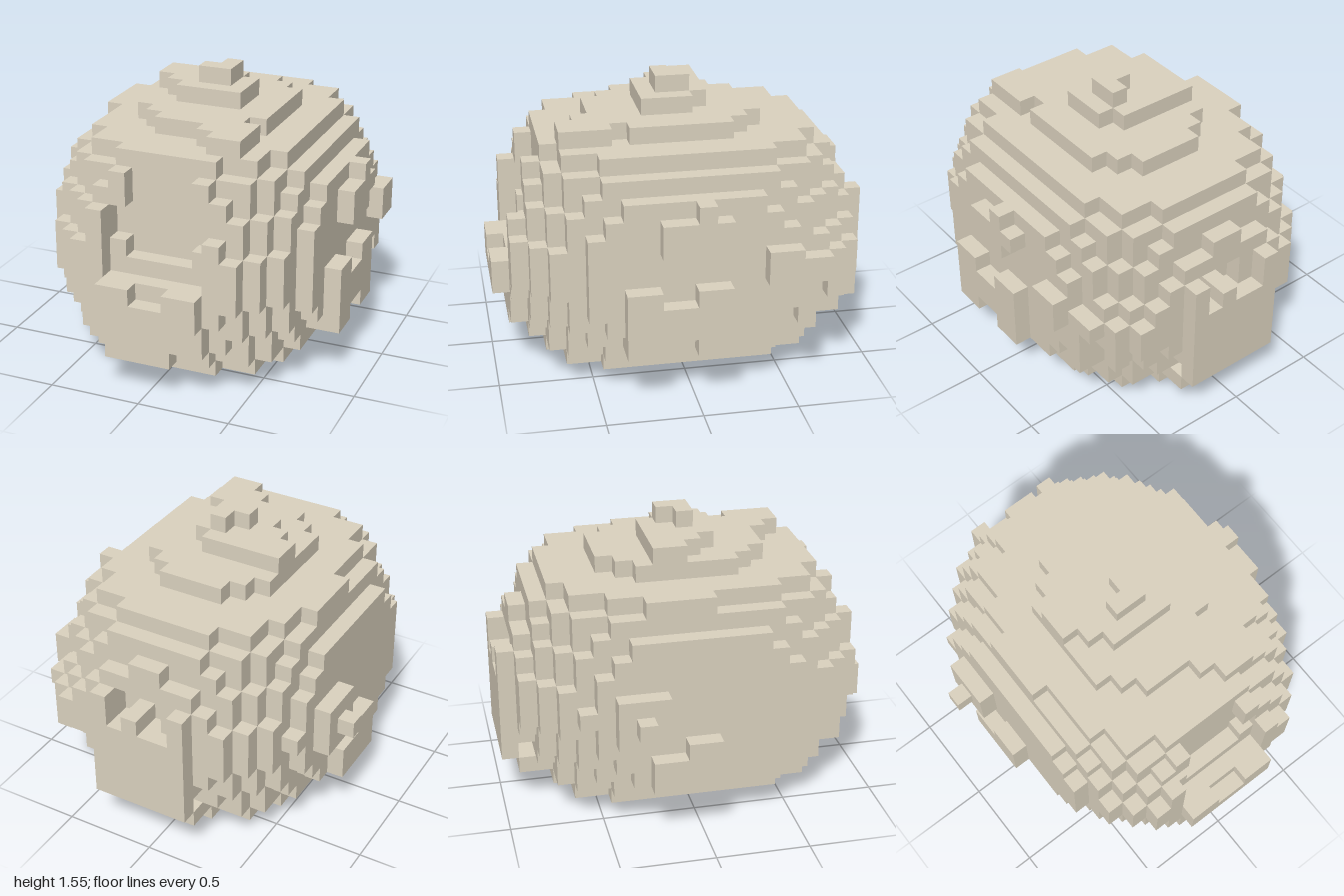
import * as THREE from 'three';

// Block grid: 19 x 17 x 22 cubes
const S = 1 / 11, SIZE = [19, 17, 22];
const ORIGIN = [-9.5 * S, 0, -11 * S];
const key = (i, j, k) => i + SIZE[0] * (j + SIZE[1] * k);

export function createModel() {
  const stone = new THREE.MeshStandardMaterial({ color: 0xdbd2bf });
  stone.name = 'stone';
  const cells = new Map(); // cell -> part name

  // Inclusive ranges of cells
  const each = ([i0, i1], [j0, j1], [k0, k1], fn) => {
    for (let i = i0; i <= i1; i++)
      for (let j = j0; j <= j1; j++)
        for (let k = k0; k <= k1; k++) fn(i, j, k);
  };
  const add = (part, x, y, z) => each(x, y, z, (i, j, k) => {
    if (!cells.has(key(i, j, k))) cells.set(key(i, j, k), part);
  });
  const cut = (x, y, z) => each(x, y, z, (i, j, k) => cells.delete(key(i, j, k)));

  // Main boulder: an ellipsoid with flattened sides; the three layers
  // at each end have their own [size, half width]
  const ends = [[0.195, 0.36], [0.59, 0.55], [0.7, 0.6]];
  each([2, 17], [0, 14], [1, 20], (i, j, k) => {
    const x = (i - 9.5) * S, y = (j - 7) * S, z = (k - 10.5) * S;
    const fromEnd = Math.min(j, 14 - j);
    const [size, half] = ends[fromEnd] ?? [1 - (y / 0.75) ** 2, 0.73];
    const stretch = fromEnd === 0 ? 1 : 0.85;
    if (Math.abs(x) < half && (x / stretch) ** 2 + z * z < size) cells.set(key(i, j, k), 'boulder');
  });
  cut([2, 2], [0, 14], [17, 20]);
  cut([17, 17], [0, 14], [17, 20]);

  // Rough edges
  add('boulder', [3, 3], [13, 13], [8, 11]);
  add('boulder', [7, 10], [2, 2], [20, 20]);
  add('boulder', [7, 12], [3, 3], [20, 20]);
  add('boulder', [6, 12], [4, 4], [20, 20]);
  add('boulder', [7, 12], [2, 2], [1, 1]);
  add('boulder', [17, 17], [4, 7], [4, 4]);
  add('boulder', [17, 17], [7, 7], [3, 3]);
  add('boulder', [16, 16], [5, 7], [2, 2]);
  add('boulder', [15, 15], [6, 7], [1, 1]);
  add('boulder', [11, 11], [14, 14], [15, 16]);
  add('boulder', [12, 13], [14, 14], [15, 17]);
  add('boulder', [12, 13], [13, 13], [16, 17]);
  add('boulder', [6, 6], [10, 10], [20, 20]);

  // Front hollow and the lip below it
  cut([8, 11], [8, 13], [19, 20]);
  cut([7, 12], [9, 10], [19, 20]);
  cut([7, 12], [7, 11], [20, 20]);
  add('frontLip', [7, 12], [5, 6], [21, 21]);
  cut([9, 10], [6, 6], [21, 21]);

  // Back slab with a notch sunk into the boulder
  add('backSlab', [7, 12], [3, 9], [0, 0]);
  cut([8, 11], [8, 9], [0, 0]);
  cut([9, 11], [8, 9], [1, 1]);
  add('backSlab', [10, 10], [8, 8], [0, 1]);

  // Left side ledges
  add('leftLedge', [18, 18], [3, 6], [9, 14]);
  cut([18, 18], [6, 6], [11, 12]);
  cut([18, 18], [3, 3], [11, 12]);
  add('leftLedge', [18, 18], [9, 10], [9, 12]);
  cut([18, 18], [9, 9], [9, 9]);
  add('leftLedge', [17, 18], [11, 11], [10, 10]);
  add('leftLedge', [18, 18], [7, 8], [5, 6]);

  // Right side ledges and knob
  add('rightLedge', [1, 1], [6, 8], [6, 8]);
  add('rightLedge', [1, 1], [3, 4], [8, 11]);
  add('rightLedge', [1, 1], [5, 5], [10, 11]);
  add('rightLedge', [0, 0], [7, 7], [7, 7]);

  // Stepped crown
  add('crown', [6, 10], [15, 15], [9, 9]);
  add('crown', [6, 11], [15, 15], [10, 10]);
  add('crown', [7, 11], [15, 15], [11, 11]);
  add('crown', [8, 11], [15, 15], [12, 12]);
  add('crown', [10, 10], [16, 16], [10, 10]);
  add('crown', [9, 10], [16, 16], [11, 11]);

  // Emit only the exposed cube faces
  const filled = (c) => c.every((v, a) => v >= 0 && v < SIZE[a]) && cells.has(key(...c));
  const positions = {};
  each([0, 18], [0, 16], [0, 21], (i, j, k) => {
    const part = cells.get(key(i, j, k));
    if (!part) return;
    const out = (positions[part] ??= []);
    for (let d = 0; d < 3; d++) for (const s of [0, 1]) {
      const next = [i, j, k];
      next[d] += s ? 1 : -1;
      if (filled(next)) continue;
      const corner = (u, v) => {
        const p = [i, j, k];
        p[d] += s;
        p[(d + 1) % 3] += u;
        p[(d + 2) % 3] += v;
        return p.map((n, a) => ORIGIN[a] + n * S);
      };
      const q = [corner(0, 0), corner(1, 0), corner(1, 1), corner(0, 1)];
      if (!s) q.reverse();
      for (const n of [0, 1, 2, 0, 2, 3]) out.push(...q[n]);
    }
  });

  const group = new THREE.Group();
  group.name = 'blockBoulder';
  for (const [part, list] of Object.entries(positions)) {
    const geometry = new THREE.BufferGeometry();
    geometry.setAttribute('position', new THREE.Float32BufferAttribute(list, 3));
    geometry.computeVertexNormals();
    const mesh = new THREE.Mesh(geometry, stone);
    mesh.name = part;
    group.add(mesh);
  }
  return group;
}
